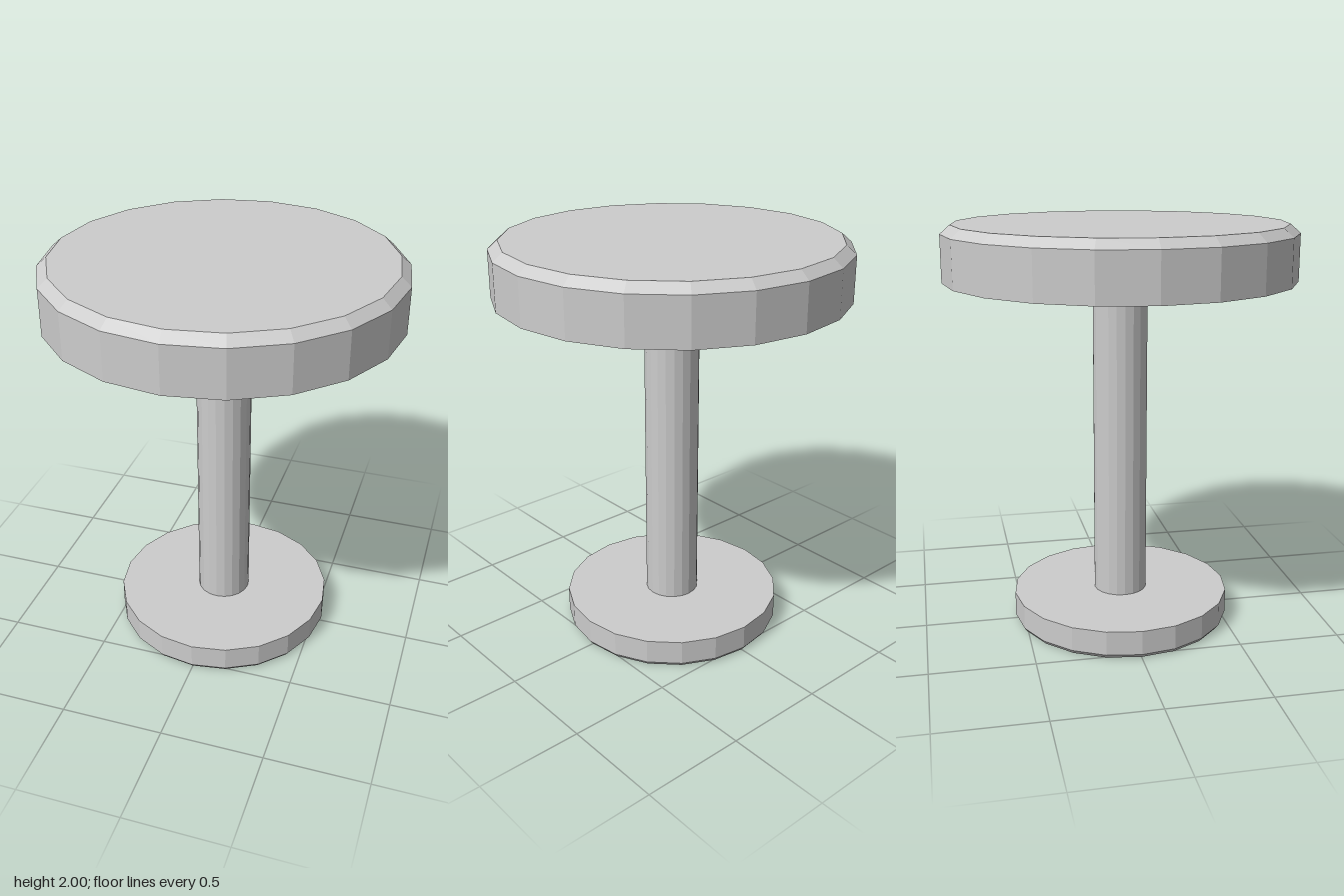
import * as THREE from 'three';

const SIDES = 20;

// Faceted solid of revolution; profile runs [radius, y] from bottom to top.
function turned(name, profile, material) {
  const points = profile.map(([r, y]) => new THREE.Vector2(r, y));
  const geometry = new THREE.LatheGeometry(points, SIDES).toNonIndexed();
  geometry.computeVertexNormals();
  const mesh = new THREE.Mesh(geometry, material);
  mesh.name = name;
  return mesh;
}

export function createModel() {
  const grey = new THREE.MeshStandardMaterial({ color: 0xcccccc });
  grey.name = 'light grey';

  const model = new THREE.Group();
  model.name = 'pedestalStool';

  model.add(
    // Round foot with a small chamfer at the floor
    turned('base', [[0, 0], [0.53, 0], [0.545, 0.02], [0.545, 0.14], [0, 0.14]], grey),
    // Slim central post
    turned('post', [[0.133, 0.14], [0.133, 1.73]], grey),
    // Thick seat with a bevelled, very slightly domed top
    turned('seat', [[0, 1.73], [0.845, 1.73], [0.845, 1.955], [0.797, 1.997], [0, 2]], grey),
  );
  return model;
}
